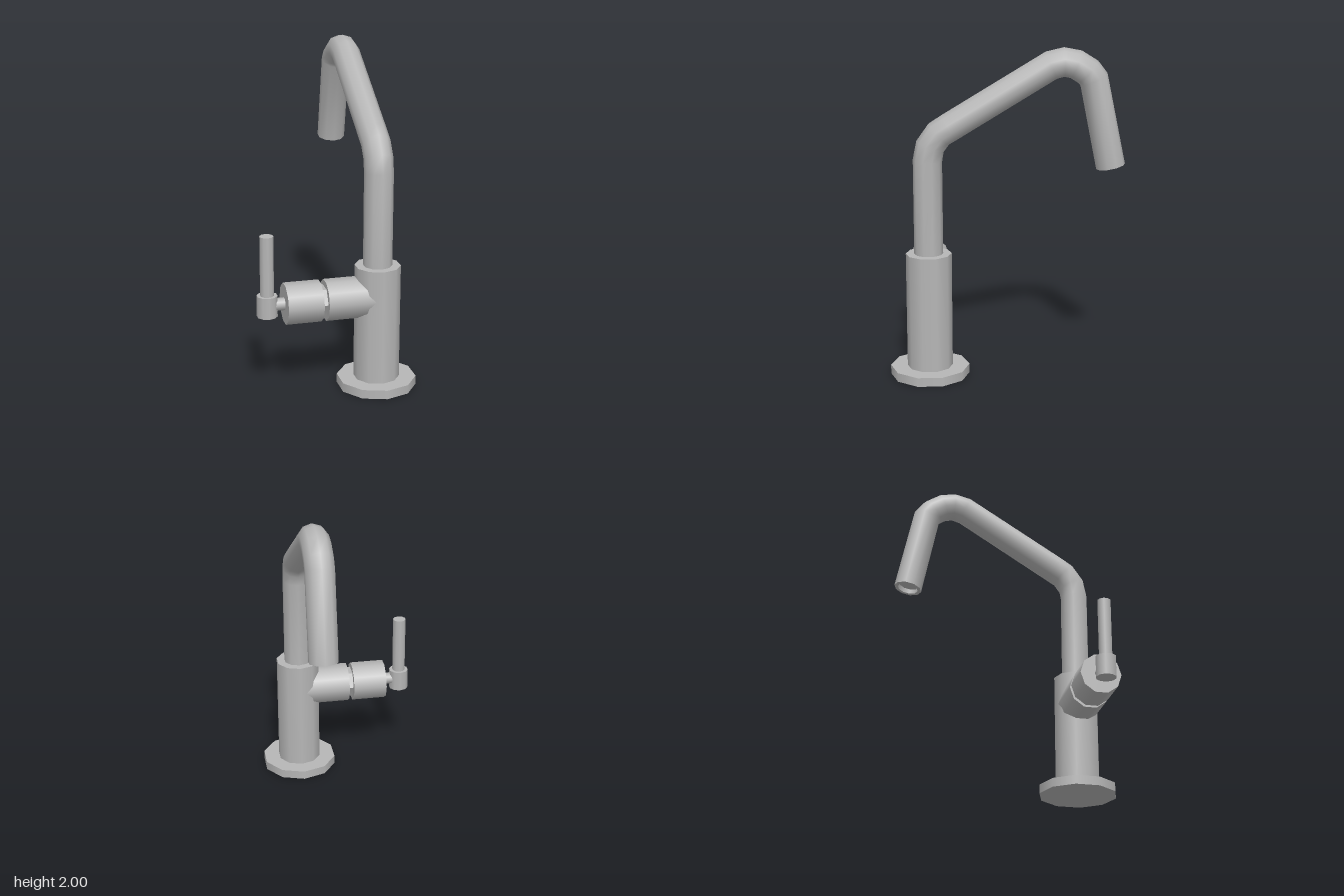
import * as THREE from 'three';

const metal = new THREE.MeshStandardMaterial({ color: 0xb6b6b6 });
metal.name = 'brushed grey metal';

const AX = 0.25, AZ = 0.4635; // axis of the faucet body

// Upright cylinder between two heights
function upright(name, x, r, y0, y1) {
  const mesh = new THREE.Mesh(new THREE.CylinderGeometry(r, r, y1 - y0, 10), metal);
  mesh.position.set(x, (y0 + y1) / 2, AZ);
  mesh.name = name;
  return mesh;
}

// Sideways cylinder between two x positions; six-sided ones get flat faces
function sideways(name, r, x0, x1, sides = 10) {
  let geo = new THREE.CylinderGeometry(r, r, x1 - x0, sides).rotateZ(Math.PI / 2);
  if (sides < 8) {
    geo = geo.toNonIndexed();
    geo.computeVertexNormals();
  }
  const mesh = new THREE.Mesh(geo, metal);
  mesh.position.set((x0 + x1) / 2, 0.573, AZ);
  mesh.name = name;
  return mesh;
}

// Sweep a ten-sided ring along a path of [z, y] points, with mitred bends
function sweep(path, radius, sides = 10) {
  const pts = path.map(([z, y]) => new THREE.Vector3(AX, y, z));
  const side = new THREE.Vector3(1, 0, 0);
  const pos = [], nor = [], idx = [];
  pts.forEach((p, i) => {
    const a = p.clone().sub(pts[Math.max(i - 1, 0)]).normalize();
    const b = pts[Math.min(i + 1, pts.length - 1)].clone().sub(p).normalize();
    const t = a.clone().add(b).normalize();
    const up = new THREE.Vector3().crossVectors(t, side);
    for (let j = 0; j <= sides; j++) {
      const ang = (j / sides) * Math.PI * 2;
      const n = up.clone().multiplyScalar(Math.cos(ang)).addScaledVector(side, Math.sin(ang));
      pos.push(...p.clone().addScaledVector(n, radius).toArray());
      nor.push(...n.toArray());
      if (i && j) {
        const d = i * (sides + 1) + j, c = d - 1, e = d - sides - 1, f = e - 1;
        idx.push(f, c, e, c, d, e);
      }
    }
  });
  // Make the winding agree with the outward normals
  const v = (k) => new THREE.Vector3().fromArray(pos, k * 3);
  const face = v(idx[1]).sub(v(idx[0])).cross(v(idx[2]).sub(v(idx[0])));
  if (face.dot(new THREE.Vector3().fromArray(nor, 0)) < 0) idx.reverse();
  const geo = new THREE.BufferGeometry();
  geo.setAttribute('position', new THREE.Float32BufferAttribute(pos, 3));
  geo.setAttribute('normal', new THREE.Float32BufferAttribute(nor, 3));
  geo.setIndex(idx);
  return geo;
}

export function createModel() {
  const model = new THREE.Group();
  model.name = 'faucet';

  // Foot and body
  model.add(upright('basePlate', AX, 0.24, 0, 0.055));
  model.add(upright('body', AX, 0.138, 0.05, 0.765));

  // Bent spout
  const spout = new THREE.Mesh(sweep([
    [AZ, 0.75], [AZ, 1.335], [0.447, 1.42], [0.395, 1.493], [0.335, 1.531],
    [-0.265, 1.896], [-0.34, 1.914], [-0.41, 1.9], [-0.48, 1.856], [-0.515, 1.812],
    [-0.622, 1.29],
  ], 0.087), metal);
  spout.name = 'spout';
  model.add(spout);

  // Spout mouth: flat rim, then a shallow recess closed by a disc
  const mouth = new THREE.Group();
  mouth.name = 'spoutMouth';
  const profile = [[0.087, 0], [0.065, 0], [0.065, 0], [0.065, 0.03], [0.065, 0.03], [0, 0.03]];
  for (let i = 0; i < profile.length; i += 2) {
    const pts = profile.slice(i, i + 2).map(([r, y]) => new THREE.Vector2(r, y));
    const ring = new THREE.Mesh(new THREE.LatheGeometry(pts.reverse(), 10), metal);
    ring.name = ['mouthRim', 'mouthWall', 'mouthDisc'][i / 2];
    // Turn faces toward the opening
    const index = ring.geometry.index.array, p = ring.geometry.attributes.position;
    const n = ring.geometry.attributes.normal;
    const want = (k) => (i === 2 ? new THREE.Vector3(-p.getX(k), 0, -p.getZ(k)) : new THREE.Vector3(0, -1, 0));
    const v = (k) => new THREE.Vector3().fromBufferAttribute(p, k);
    for (let k = 0; k < index.length; k += 3) {
      const [a, b, c] = index.slice(k, k + 3);
      if (v(b).sub(v(a)).cross(v(c).sub(v(a))).dot(want(a)) < 0) index.set([a, c, b], k);
    }
    for (let k = 0; k < n.count; k++) n.setXYZ(k, ...want(k).normalize().toArray());
    mouth.add(ring);
  }
  mouth.position.set(AX, 1.29, -0.622);
  mouth.rotation.x = Math.atan2(0.107, 0.522);
  model.add(mouth);

  // Side valve and lever
  const handle = new THREE.Group();
  handle.name = 'handle';
  handle.add(
    sideways('valveBarrel', 0.125, -0.075, AX),
    sideways('valveNeck', 0.095, -0.11, -0.07, 6),
    sideways('turningBarrel', 0.125, -0.32, -0.105),
    sideways('leverStem', 0.038, -0.4, -0.315),
    upright('leverSocket', -0.423, 0.062, 0.505, 0.635),
    upright('leverRod', -0.423, 0.041, 0.63, 1.0),
  );
  model.add(handle);

  return model;
}
